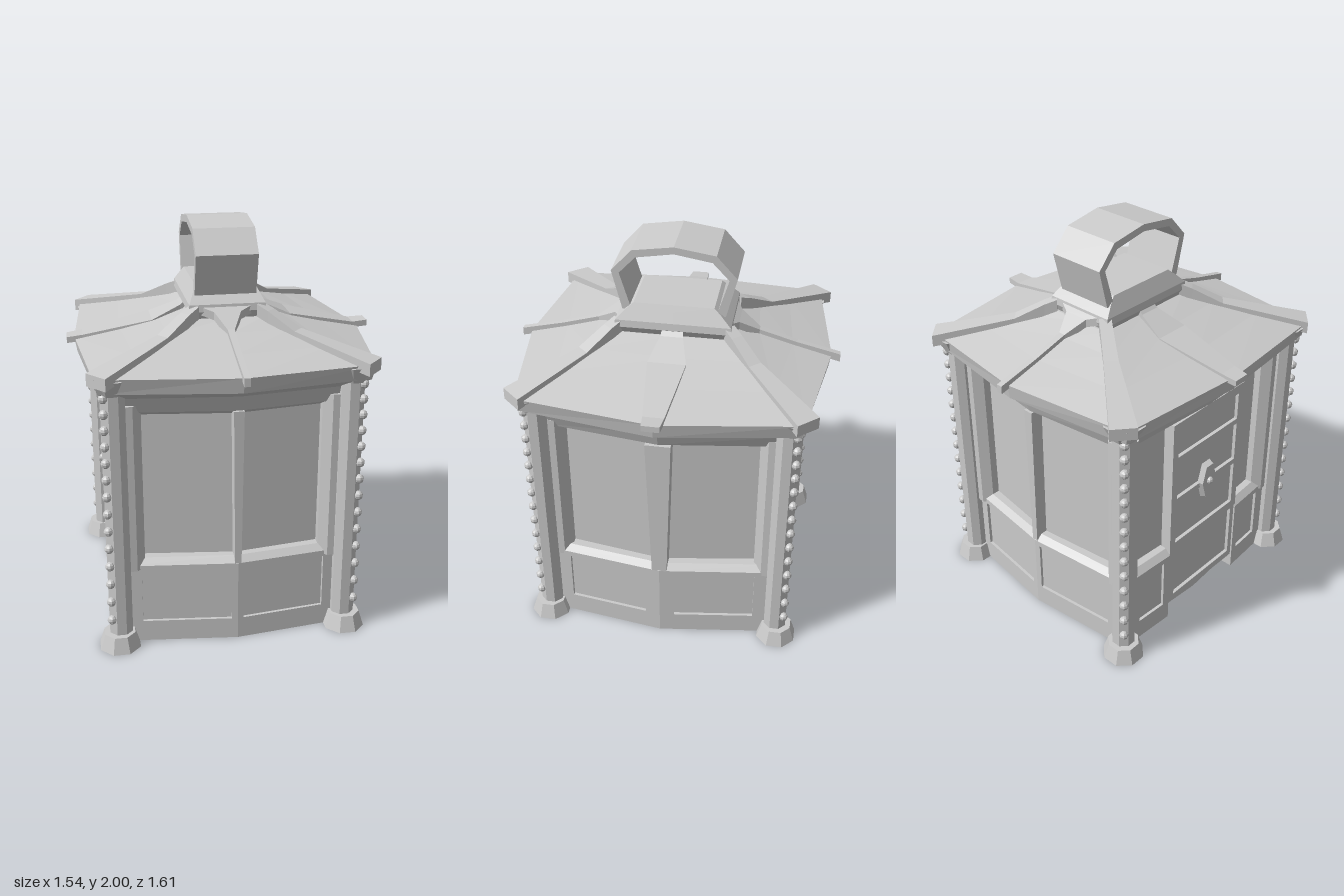
import * as THREE from 'three';

const mat = new THREE.MeshStandardMaterial({ color: 0xcccccc, flatShading: true, side: THREE.DoubleSide });

// Plan of the bowed walls: corner, middle, corner... with outward direction [x, z, sx, sz]
const PLAN = [
  [-0.585, 0.585, -1, 1], [-0.015, 0.65, 0, 1], [0.53, 0.585, 1, 1], [0.61, 0, 1, 0],
  [0.53, -0.585, 1, -1], [-0.015, -0.65, 0, -1], [-0.585, -0.585, -1, -1], [-0.62, 0, -1, 0],
];
const ring = (y, o, corner = o) => PLAN.map(([x, z, sx, sz]) => {
  const d = sx && sz ? corner : o;
  return [x + sx * d, y, z + sz * d];
});
const rect = (y, hx, hz) => PLAN.map(([, , sx, sz]) => [sx * hx - 0.005, y, sz * hz]);
const mix = (a, b, t, y) => a.map((p, i) => [p[0] + (b[i][0] - p[0]) * t, y, p[2] + (b[i][2] - p[2]) * t]);

// Skin a series of closed cross-sections and cap both ends
function loft(rings) {
  const pos = [];
  const n = rings[0].length;
  const tri = (a, b, c) => pos.push(...a, ...b, ...c);
  const centre = (r) => [0, 1, 2].map((k) => r.reduce((s, p) => s + p[k], 0) / n);
  const first = rings[0], last = rings[rings.length - 1];
  const c0 = centre(first), c1 = centre(last);
  for (let i = 0; i < n; i++) {
    const j = (i + 1) % n;
    tri(c0, first[j], first[i]);
    tri(c1, last[i], last[j]);
    for (let k = 0; k + 1 < rings.length; k++) {
      const r = rings[k], s = rings[k + 1];
      tri(r[i], r[j], s[j]);
      tri(r[i], s[j], s[i]);
    }
  }
  const g = new THREE.BufferGeometry();
  g.setAttribute('position', new THREE.Float32BufferAttribute(pos, 3));
  g.computeVertexNormals();
  return g;
}

function add(parent, name, geo, x = 0, y = 0, z = 0) {
  const m = new THREE.Mesh(geo, mat);
  m.name = name;
  m.position.set(x, y, z);
  parent.add(m);
  return m;
}

const outline = (pts, Type = THREE.Shape) => new Type(pts.map(([x, y]) => new THREE.Vector2(x, y)));
const box = (x0, y0, x1, y1) => [[x0, y0], [x1, y0], [x1, y1], [x0, y1]];
const extrude = (shape, depth) => new THREE.ExtrudeGeometry(shape, { depth, bevelEnabled: false });

// Roof rib of rectangular section; stations are [t along path, top y, width]
function rib(from, to, stations, thick = 0.05) {
  const dx = to[0] - from[0], dz = to[1] - from[1], len = Math.hypot(dx, dz);
  const rx = dz / len, rz = -dx / len;
  return loft(stations.map(([t, y, w]) => {
    const x = from[0] + dx * t, z = from[1] + dz * t, h = w / 2;
    return [[-h, y - thick], [h, y - thick], [h, y], [-h, y]].map(([s, v]) => [x + rx * s, v, z + rz * s]);
  }));
}

export function createModel() {
  const model = new THREE.Group();
  model.name = 'lantern';

  // Wall core: recessed floor, deep window panes, lintel, cove and upright eave band
  add(model, 'wallCore', loft([
    ring(0.03, -0.075), ring(0, -0.075), ring(0, -0.065), ring(1.18, -0.065), ring(1.21, -0.015),
    ring(1.29, 0.015), ring(1.335, 0.1, 0.075), ring(1.41, 0.112, 0.09),
  ]));

  // Lower walls with a sloped ledge and a sunken panel, one half on each side of a wall middle;
  // the -x wall leaves room for the door
  PLAN.forEach(([ax, az], i) => {
    const [bx, bz] = PLAN[(i + 1) % 8];
    const full = Math.hypot(bx - ax, bz - az);
    const doorSide = i >= 6;
    const L = doorSide ? full - 0.27 : full;
    const gap = doorSide ? 0.04 : i % 4 >= 2 ? 0.075 : 0.03;
    const [p0, p1] = i % 2 ? [gap, L - 0.105] : [0.105, L - gap];
    const half = new THREE.Group();
    half.name = 'lowerWall';
    half.position.set(ax, 0, az);
    half.rotation.y = Math.atan2(az - bz, bx - ax);
    const start = i === 7 ? full - L : 0;
    const profile = outline([[0.075, 0], [0.015, 0], [0.015, 0.4], [0, 0.42], [0.03, 0.45], [0.075, 0.45]]);
    add(half, 'ledge', extrude(profile, L).rotateY(Math.PI / 2), start);
    const s = outline(box(0, 0, L, 0.42));
    s.holes.push(outline(box(p0, 0.11, p1, 0.39), THREE.Path));
    add(half, 'panelFrame', extrude(s, 0.015), start, 0, -0.015);
    model.add(half);
  });

  // Tapered mullions between the windows (the door takes the fourth wall)
  [1, 3, 5].forEach((i) => {
    const [x, z, sx, sz] = PLAN[i];
    const top = sx ? 0.062 : 0.025, low = sx ? 0.038 : 0.016;
    const s = outline([[-low, 0.42], [low, 0.42], [top, 1.21], [-top, 1.21]]);
    add(model, 'mullion', extrude(s, 0.08).translate(0, 0, -0.082), x, 0, z).rotation.y = Math.atan2(sx, sz);
  });

  // Door set into the -x wall: frame with panes, rails and a hexagonal latch
  const door = new THREE.Group();
  door.name = 'door';
  const ds = outline(box(-0.26, 0.08, 0.28, 1.2));
  [[0.12, 0.42], [0.47, 0.72], [0.75, 0.97], [1.0, 1.15]]
    .forEach(([a, b]) => ds.holes.push(outline(box(-0.22, a, 0.24, b), THREE.Path)));
  add(door, 'doorFrame', extrude(ds, 0.06).rotateY(-Math.PI / 2), -0.535, 0, 0);
  add(door, 'doorPanel', new THREE.BoxGeometry(0.05, 1.1, 0.53), -0.552, 0.64, 0.01);
  add(door, 'latchPlate', new THREE.CylinderGeometry(0.08, 0.09, 0.03, 6)
    .rotateZ(Math.PI / 2).scale(1, 1.3, 0.65), -0.6, 0.75, 0.01);
  add(door, 'latchKnob', new THREE.SphereGeometry(0.02, 8, 6), -0.617, 0.75, 0.01);
  model.add(door);

  // Corner posts with window jambs, feet, flared capitals and strings of beads
  for (const sx of [-1, 1]) for (const sz of [-1, 1]) {
    const corner = new THREE.Group();
    corner.name = 'cornerPost';
    corner.position.set(sx < 0 ? -0.59 : 0.53, 0, sz * 0.6);
    const turn = Math.PI / 8;
    const pillar = (name, rTop, rLow, y0, y1, out) => add(corner, name,
      new THREE.CylinderGeometry(rTop, rLow, y1 - y0, 8).rotateY(turn), sx * out, (y0 + y1) / 2, sz * out);
    pillar('post', 0.06, 0.06, 0, 1.34, 0);
    pillar('windowJamb', 0.075, 0.075, 0.4, 1.25, -0.06);
    pillar('foot', 0.08, 0.106, 0, 0.08, 0.008);
    pillar('capital', 0.1, 0.06, 1.32, 1.4, 0.008);
    for (let k = 0; k < 14; k++) {
      add(corner, 'bead', new THREE.SphereGeometry(0.023, 8, 6), sx * 0.045, 1.31 - 0.075 * k - 0.001 * k * k, sz * 0.045);
    }
    model.add(corner);
  }

  // Roof and stepped cap
  const eave = ring(1.41, 0.112, 0.09), neck = rect(1.55, 0.175, 0.28);
  add(model, 'roof', loft([eave, mix(eave, neck, 0.4, 1.46), mix(eave, neck, 0.75, 1.51), neck]));
  add(model, 'cap', loft([
    rect(1.54, 0.165, 0.265), rect(1.585, 0.19, 0.285), rect(1.62, 0.185, 0.28), rect(1.67, 0.16, 0.23), rect(1.7, 0.145, 0.195),
  ]));

  // Roof ribs: four hips, two narrow ones front and back, two broad ones at the sides
  for (const s of [-1, 1]) {
    for (const sz of [-1, 1]) {
      add(model, 'hipRib', rib([s * 0.16 - 0.005, sz * 0.27], [s * 0.638 - 0.027, sz * 0.685],
        [[0, 1.615, 0.06], [0.1, 1.59, 0.06], [0.34, 1.515, 0.07], [1, 1.432, 0.125]], 0.06));
    }
    add(model, 'narrowRib', rib([-0.01, s * 0.27], [-0.01, s * 0.805],
      [[0, 1.615, 0.28], [0.07, 1.59, 0.13], [0.25, 1.53, 0.035], [0.6, 1.475, 0.03], [1, 1.425, 0.03]], 0.04));
    add(model, 'broadRib', rib([s * 0.17, 0], [s * 0.77, 0],
      [[0, 1.595, 0.1], [0.06, 1.565, 0.11], [0.3, 1.505, 0.185], [0.87, 1.433, 0.1], [1, 1.43 + s * 0.008, 0.085]], 0.03));
  }

  // Faceted carrying handle
  const arch = outline([[0.25, 1.66], [0.3, 1.86], [0.2, 1.97], [0, 2], [-0.2, 1.97], [-0.3, 1.86], [-0.25, 1.66],
    [-0.205, 1.66], [-0.262, 1.85], [-0.182, 1.935], [0, 1.965], [0.182, 1.935], [0.262, 1.85], [0.205, 1.66]]);
  add(model, 'handle', extrude(arch, 0.3).rotateY(Math.PI / 2), -0.16, 0, 0);

  return model;
}
